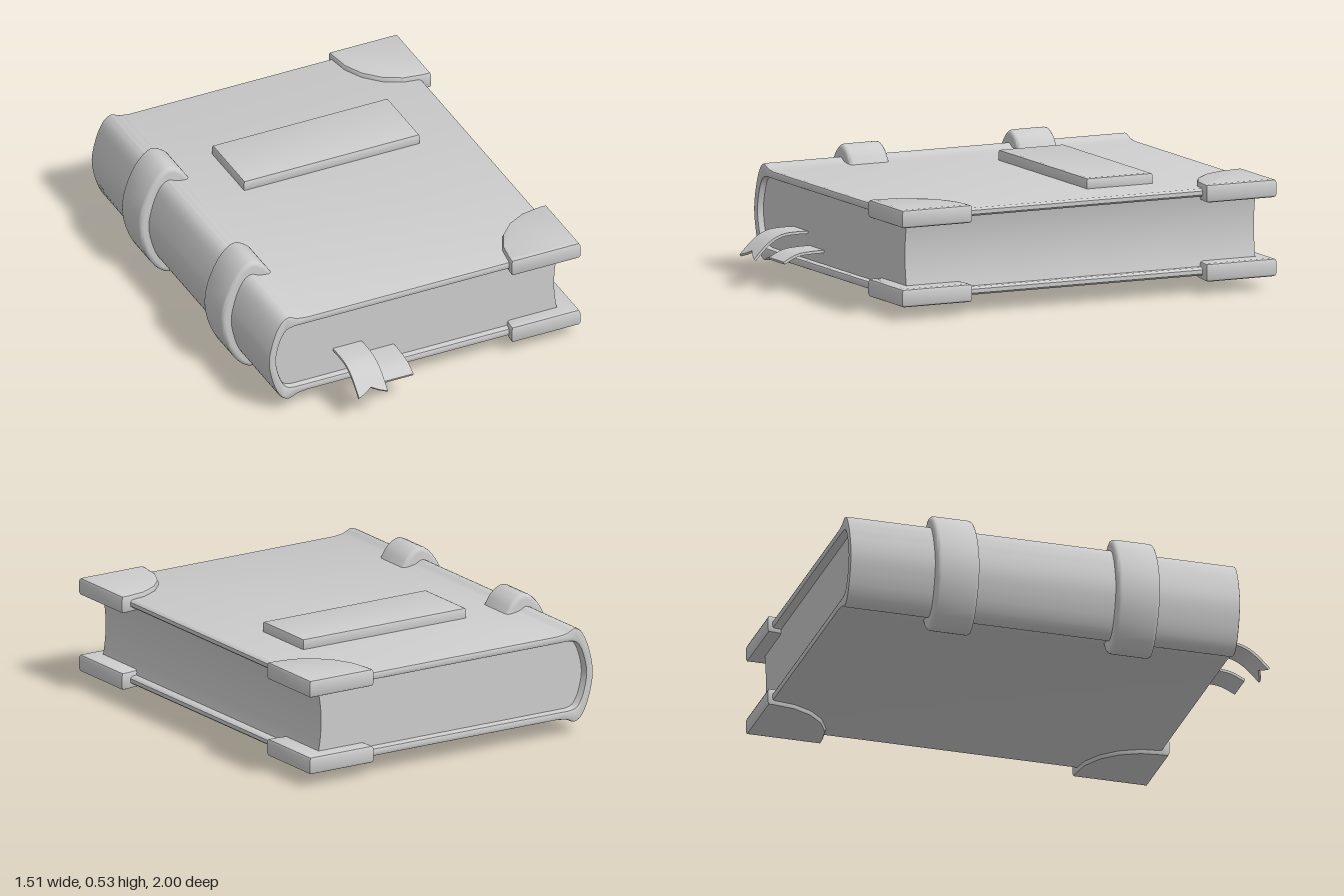
import * as THREE from 'three';
import { toCreasedNormals } from 'three/addons/utils/BufferGeometryUtils.js';

const MID = 0.267; // height of the book's middle plane

export function createModel() {
  const book = new THREE.Group();
  book.name = 'book';
  const material = new THREE.MeshStandardMaterial({ color: 0xcccccc });

  const add = (name, geometry) => {
    const mesh = new THREE.Mesh(toCreasedNormals(geometry, 0.65), material);
    mesh.name = name;
    book.add(mesh);
    return mesh;
  };

  // Solid between two depths, with its bevel kept inside the outline
  const slab = (points, from, to, bevel, segments = 2) => {
    const g = new THREE.ExtrudeGeometry(new THREE.Shape(points), {
      depth: to - from - 2 * bevel, bevelEnabled: bevel > 0,
      bevelSize: bevel, bevelThickness: bevel, bevelOffset: -bevel, bevelSegments: segments,
    });
    return g.translate(0, 0, from + bevel);
  };

  // Smooth curve through an upper half and its mirror image below
  const arch = (half, divisions) => {
    const pts = half.map(([x, y]) => new THREE.Vector2(x, y));
    const lower = pts.slice(0, -1).reverse().map((p) => new THREE.Vector2(p.x, -p.y));
    return new THREE.SplineCurve([...pts, ...lower]).getPoints(divisions);
  };

  const V = (x, y) => new THREE.Vector2(x, y);

  // Cover: two boards joined by a rounded spine
  const outer = arch([[-0.53, 0.189], [-0.58, 0.196], [-0.62, 0.211], [-0.66, 0.185], [-0.695, 0.108], [-0.715, 0]], 40);
  const inner = arch([[-0.59, 0.154], [-0.63, 0.142], [-0.66, 0.09], [-0.678, 0]], 24);
  const cover = [
    V(0.7, 0.189), ...outer, V(0.7, -0.189), V(0.712, -0.18), V(0.712, -0.163), V(0.7, -0.154),
    ...inner.slice().reverse(), V(0.7, 0.154), V(0.712, 0.163), V(0.712, 0.18),
  ];
  add('cover', slab(cover, -0.98, 0.77, 0.01)).position.y = MID;

  // Page block: rounded at the spine, hollowed at the fore edge
  const foreEdge = new THREE.QuadraticBezierCurve(V(0.678, -0.158), V(0.64, 0), V(0.678, 0.158)).getPoints(12);
  const backEdge = arch([[-0.59, 0.158], [-0.635, 0.145], [-0.665, 0.09], [-0.683, 0]], 24);
  add('pages', slab([...backEdge, ...foreEdge], -0.94, 0.74, 0)).position.y = MID;

  // Raised bands across the spine
  const band = arch([[-0.5, 0.15], [-0.525, 0.195], [-0.56, 0.242], [-0.62, 0.267], [-0.685, 0.216], [-0.738, 0.11], [-0.757, 0]], 40);
  for (const z of [-0.6, 0.21]) {
    add('spineBand', slab(band, z, z + 0.19, 0.018, 3)).position.y = MID;
  }

  // Quarter-round corner guards on both boards
  const guard = [V(0.755, 0), V(0.755, 0.335)];
  for (let i = 0; i <= 5; i++) {
    const a = (i / 5) * Math.PI / 2;
    guard.push(V(0.72 - 0.29 * Math.sin(a), 0.03 + 0.305 * Math.cos(a)));
  }
  guard.push(V(0.43, 0));
  for (const front of [false, true]) {
    const outline = guard.map((p) => (front ? V(p.x, -0.8 + p.y) : V(p.x, 1 - p.y)));
    for (const y of [0.4, 0.056]) {
      const g = slab(outline, 0, 0.08, 0.014).rotateX(-Math.PI / 2);
      add('cornerGuard', g).position.y = y;
    }
  }

  // Title plate on the front board
  const plate = [V(-0.35, 0.225), V(0.487, 0.225), V(0.487, 0.54), V(-0.35, 0.54)];
  add('titlePlate', slab(plate, 0, 0.06, 0.01).rotateX(-Math.PI / 2)).position.y = 0.442;

  // Ribbons: flat strips bent along a curve, optionally notched at the end
  const ribbon = (x, width, path, notch) => {
    const curve = new THREE.SplineCurve(path.map(([z, y]) => V(z, y)));
    const g = new THREE.BoxGeometry(width, 0.012, 1, 4, 1, 14);
    const p = g.attributes.position;
    for (let i = 0; i < p.count; i++) {
      const px = p.getX(i);
      const t = (p.getZ(i) + 0.5) * (1 - notch * (1 - Math.abs(px) / (width / 2)));
      const c = curve.getPoint(t), d = curve.getTangent(t), h = p.getY(i);
      p.setXYZ(i, x + px, c.y + h * d.x, c.x - h * d.y);
    }
    add('ribbon', g);
  };
  ribbon(-0.327, 0.137, [[0.7, 0.228], [0.8, 0.23], [0.87, 0.222], [0.93, 0.19], [0.995, 0.128]], 0.11);
  ribbon(-0.175, 0.14, [[0.7, 0.168], [0.8, 0.168], [0.87, 0.16], [0.932, 0.132]], 0);

  return book;
}
